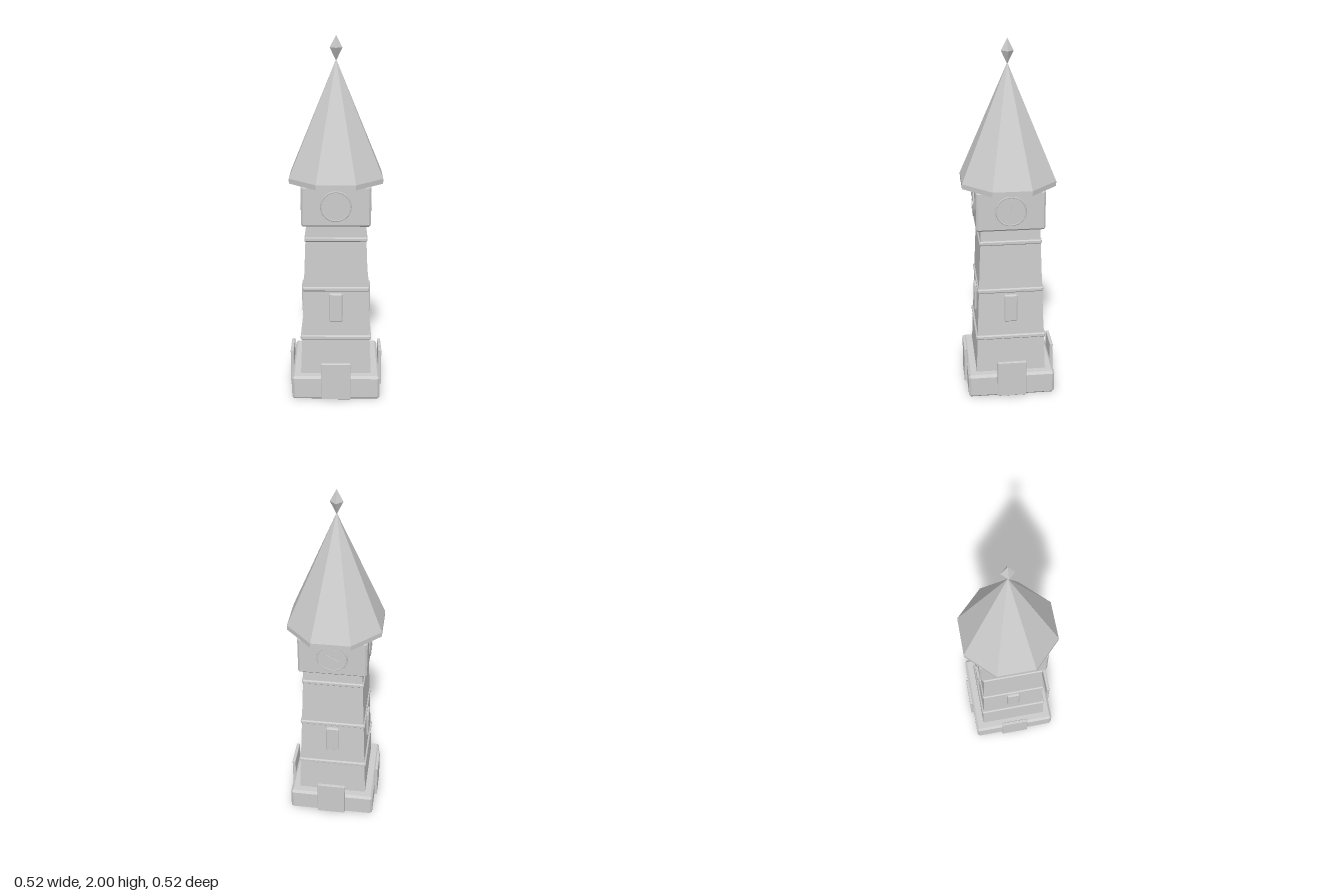
import * as THREE from 'three';
import { ConvexGeometry } from 'three/addons/geometries/ConvexGeometry.js';

const stone = new THREE.MeshStandardMaterial({ color: 0xcccccc });
stone.name = 'stone';

function add(parent, name, geometry, x = 0, y = 0, z = 0) {
  const mesh = new THREE.Mesh(geometry, stone);
  mesh.name = name;
  mesh.position.set(x, y, z);
  parent.add(mesh);
  return mesh;
}

// Box with chamfered edges, centred on the origin
function chamferBox(w, h, d, c) {
  const points = [];
  for (const sx of [-1, 1]) for (const sy of [-1, 1]) for (const sz of [-1, 1]) {
    const x = w / 2, y = h / 2, z = d / 2;
    points.push(
      new THREE.Vector3(sx * x, sy * (y - c), sz * (z - c)),
      new THREE.Vector3(sx * (x - c), sy * y, sz * (z - c)),
      new THREE.Vector3(sx * (x - c), sy * (y - c), sz * z));
  }
  return new ConvexGeometry(points);
}

// Flat-faced prism or cone with a given number of sides, standing on y = 0
function faceted(rTop, rBottom, height, sides, turn) {
  const g = new THREE.CylinderGeometry(rTop, rBottom, height, sides)
    .rotateY(turn).translate(0, height / 2, 0).toNonIndexed();
  g.computeVertexNormals();
  return g;
}

// Clock: dial, raised rim and two hands
function makeClock() {
  const clock = new THREE.Group();
  clock.name = 'clock';
  add(clock, 'dial', new THREE.CylinderGeometry(0.083, 0.083, 0.006, 32).rotateX(Math.PI / 2));
  add(clock, 'rim', new THREE.TorusGeometry(0.08, 0.005, 6, 32), 0, 0, 0.001);
  const minute = add(clock, 'minuteHand', new THREE.BoxGeometry(0.085, 0.007, 0.005), 0, 0, 0.005);
  minute.rotation.z = -0.5;
  const hour = add(clock, 'hourHand', new THREE.BoxGeometry(0.007, 0.06, 0.005), 0.006, 0.02, 0.005);
  hour.rotation.z = -0.3;
  return clock;
}

export function createModel() {
  const tower = new THREE.Group();
  tower.name = 'clockTower';
  const S = Math.SQRT2;

  // Plinth and tapered shaft
  add(tower, 'plinth', chamferBox(0.494, 0.14, 0.494, 0.013), 0, 0.07, 0);
  add(tower, 'shaft', faceted(0.162 * S, 0.199 * S, 0.92, 4, Math.PI / 4), 0, 0.1, 0);

  // String courses around the shaft
  for (const [y, half] of [[0.356, 0.197], [0.64, 0.184], [0.923, 0.172]]) {
    add(tower, 'band', chamferBox(half * 2, 0.026, half * 2, 0.006), 0, y, 0);
  }

  // Clock chamber
  add(tower, 'clockChamber', chamferBox(0.376, 0.225, 0.376, 0.01), 0, 1.1125, 0);

  // Door, window and clock on each of the four sides
  for (let i = 0; i < 4; i++) {
    const side = new THREE.Group();
    side.name = 'sideDetails';
    side.rotation.y = i * Math.PI / 2;
    add(side, 'door', chamferBox(0.164, 0.218, 0.018, 0.003), 0, 0.117, 0.253);
    add(side, 'window', chamferBox(0.076, 0.165, 0.028, 0.006), 0, 0.534, 0.18);
    const clock = makeClock();
    clock.position.set(0, 1.115, 0.189);
    side.add(clock);
    tower.add(side);
  }

  // Eight-sided spire with a short upright eave
  const R = 0.276;
  add(tower, 'eave', faceted(R, R, 0.027, 8, Math.PI / 8), 0, 1.221, 0);
  add(tower, 'spire', faceted(0, R, 0.627, 8, Math.PI / 8), 0, 1.248, 0);

  // Pointed four-sided finial
  add(tower, 'finialTop', faceted(0, 0.034, 0.065, 4, 0), 0, 1.935, 0);
  add(tower, 'finialBottom', faceted(0.034, 0, 0.07, 4, 0), 0, 1.865, 0);

  return tower;
}
